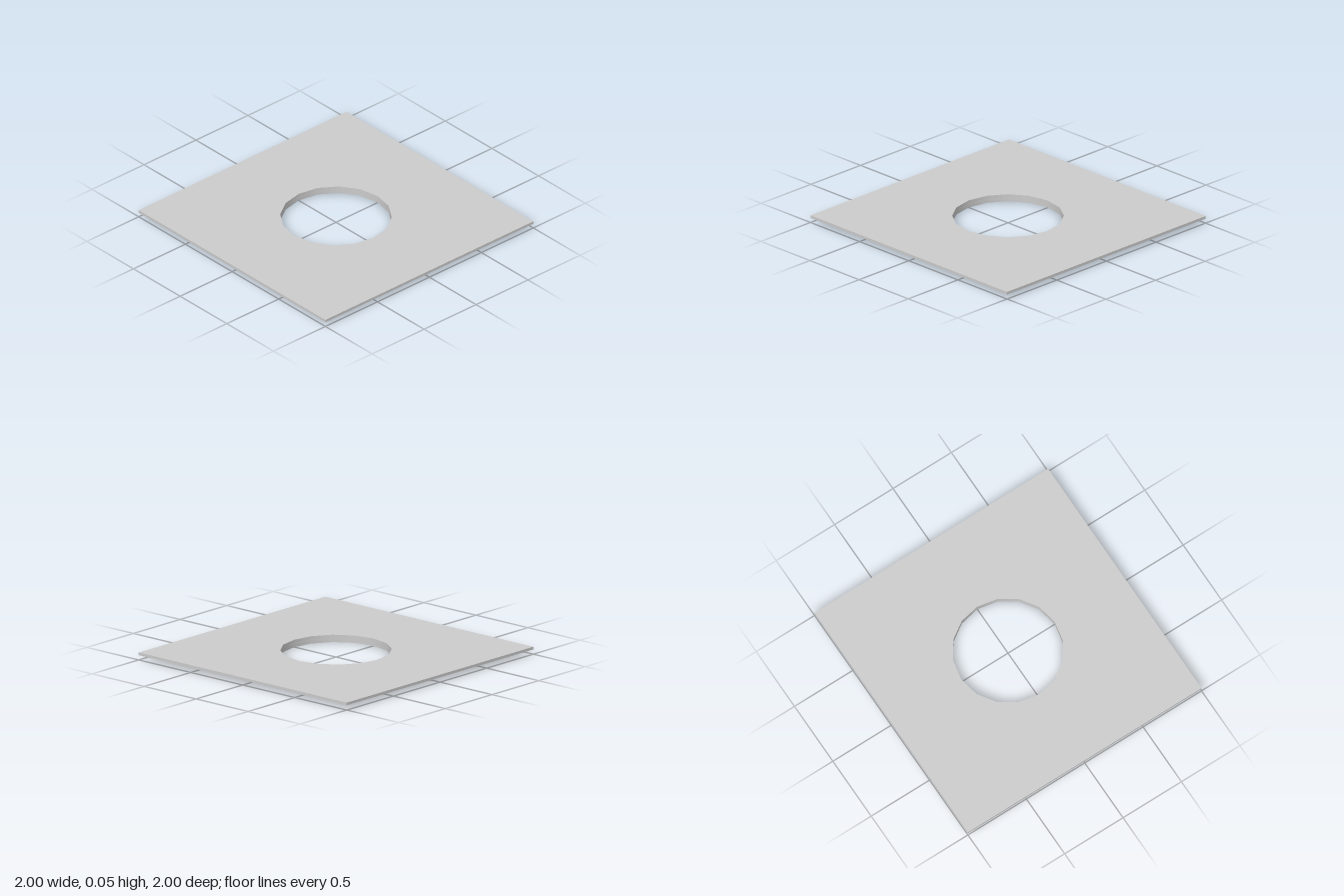
import * as THREE from 'three';
import { toCreasedNormals } from 'three/addons/utils/BufferGeometryUtils.js';

const SIDES = 16, HOLE_R = 0.4, COLLAR_R = 0.42, RIB_END = 0.58;
const PLATE_BOTTOM = 0.035, PLATE_THICK = 0.02;

function polygon(radius) {
  return Array.from({ length: SIDES }, (_, i) => {
    const a = (i / SIDES) * Math.PI * 2;
    return new THREE.Vector2(Math.cos(a) * radius, Math.sin(a) * radius);
  });
}

// Extrudes an outline with the central hole upwards from y = 0
function slabWithHole(outline, height) {
  const shape = new THREE.Shape(outline);
  shape.holes.push(new THREE.Path(polygon(HOLE_R)));
  const geometry = new THREE.ExtrudeGeometry(shape, { depth: height, bevelEnabled: false });
  geometry.rotateX(-Math.PI / 2);
  return toCreasedNormals(geometry, 0.5);
}

export function createModel() {
  const model = new THREE.Group();
  model.name = 'plateWithCollar';
  const material = new THREE.MeshStandardMaterial({ color: 0xcccccc });
  const add = (name, geometry) => {
    const mesh = new THREE.Mesh(geometry, material);
    mesh.name = name;
    model.add(mesh);
    return mesh;
  };

  // Thin square plate with the round opening
  const square = [[-1, -1], [1, -1], [1, 1], [-1, 1]].map(([x, y]) => new THREE.Vector2(x, y));
  add('plate', slabWithHole(square, PLATE_THICK)).position.y = PLATE_BOTTOM;

  // Ring under the opening
  add('collar', slabWithHole(polygon(COLLAR_R), PLATE_BOTTOM));

  // Four ribs reaching out from the ring
  const ribStart = COLLAR_R - 0.01;
  for (let i = 0; i < 4; i++) {
    const rib = new THREE.BoxGeometry(RIB_END - ribStart, PLATE_BOTTOM, 0.04);
    rib.translate((RIB_END + ribStart) / 2, PLATE_BOTTOM / 2, 0);
    add('rib' + (i + 1), rib).rotation.y = (i * Math.PI) / 2;
  }
  return model;
}
